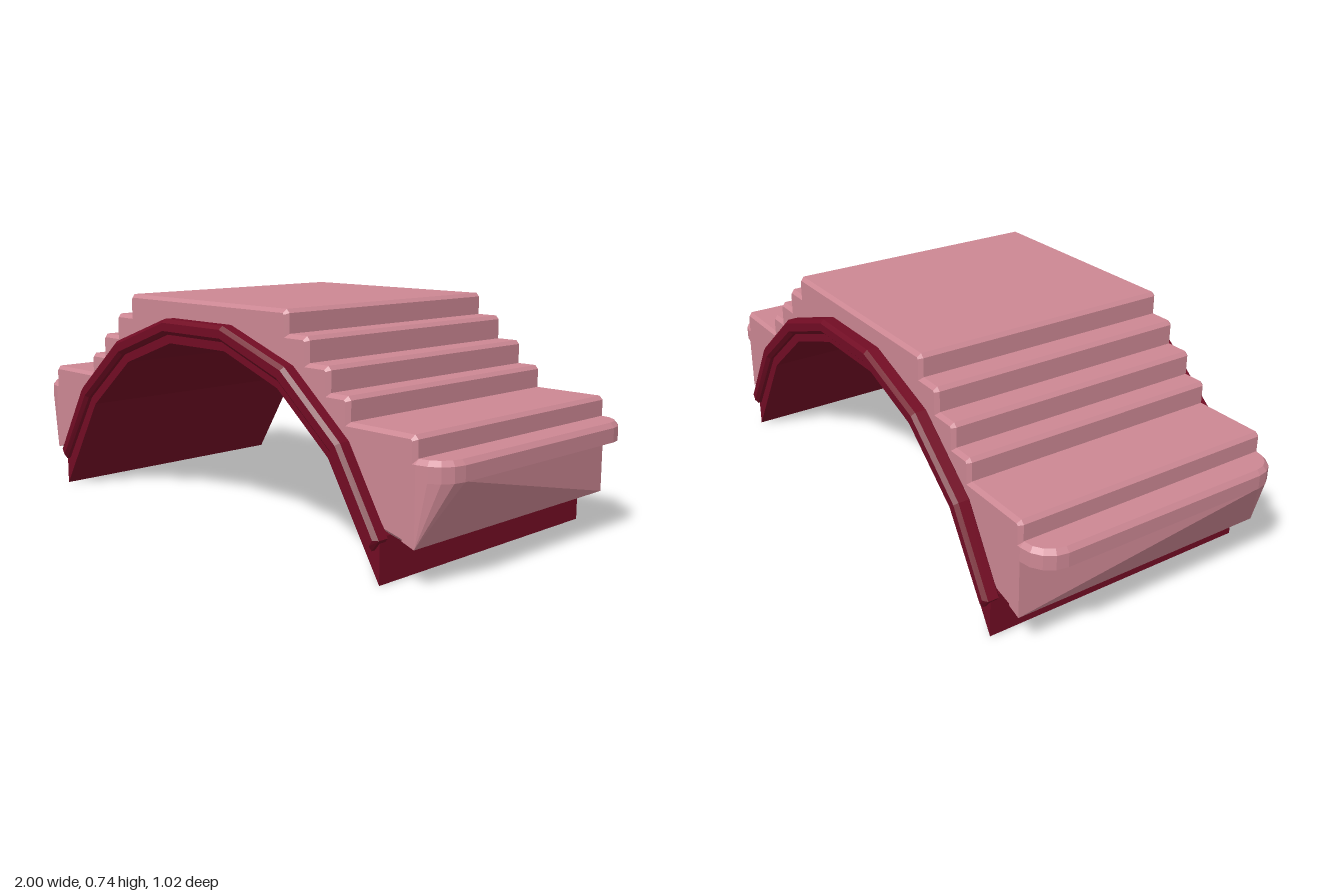
import * as THREE from 'three';
import { ConvexGeometry } from 'three/addons/geometries/ConvexGeometry.js';

const stone = new THREE.MeshStandardMaterial({ color: 0xcc8793, flatShading: true });
const trim = new THREE.MeshStandardMaterial({ color: 0x720c24, flatShading: true });

// Mirrors a +x chain of [x, y] points (centre outwards) into a chain from -x to +x
const mirrored = (half) => [...half.map(([x, y]) => [-x, y]).reverse(), ...half];

// Extrudes the area between an upper and a lower half chain from z0 to z1
function archSolid(name, upper, lower, z0, z1, bevel, material) {
  const outline = [...mirrored(lower), ...mirrored(upper).reverse()];
  const shape = new THREE.Shape(outline.map(([x, y]) => new THREE.Vector2(x, y)));
  const geometry = new THREE.ExtrudeGeometry(shape, {
    depth: z1 - z0 - 2 * bevel,
    bevelEnabled: bevel > 0,
    bevelThickness: bevel,
    bevelSize: bevel,
    bevelOffset: -bevel,
    bevelSegments: 1,
  });
  geometry.translate(0, 0, z0 + bevel);
  const mesh = new THREE.Mesh(geometry, material);
  mesh.name = name;
  return mesh;
}

// Quarter-round corner of the end ledge at height y, for the z side given by sign
function ledgeCorner(y, sign, inset = 0) {
  const points = [];
  for (let i = 0; i <= 4; i++) {
    const a = (i / 4) * Math.PI / 2;
    points.push(new THREE.Vector3(
      0.905 + (0.095 - inset) * Math.sin(a), y,
      sign * (0.365 + (0.095 - inset) * Math.cos(a))));
  }
  return points;
}

function convex(name, points, side) {
  const mesh = new THREE.Mesh(
    new ConvexGeometry(points.map((p) => new THREE.Vector3(p.x * side, p.y, p.z))), stone);
  mesh.name = name;
  return mesh;
}

export function createModel() {
  const model = new THREE.Group();
  model.name = 'steppedBridge';

  // Stepped body: each tread ends in a small chamfer
  const treads = [[0.40, 0.738], [0.487, 0.665], [0.575, 0.587], [0.655, 0.51], [0.905, 0.437]];
  const c = 0.012;
  const stepLine = [];
  treads.forEach(([x, y], i) => {
    if (i > 0) stepLine.push([treads[i - 1][0], y]);
    stepLine.push([x - c, y], [x, y - c]);
  });
  stepLine.push([0.905, 0.122]);
  const bodyUnder = [[0.145, 0.63], [0.41, 0.54], [0.635, 0.36], [0.79, 0.148]];
  model.add(archSolid('steppedBody', stepLine, bodyUnder, -0.46, 0.46, 0.012, stone));

  // Vault lining the passage
  const vaultOuter = [[0.145, 0.65], [0.42, 0.56], [0.65, 0.38], [0.803, 0.14]];
  const vaultInner = [[0.14, 0.592], [0.385, 0.505], [0.60, 0.33], [0.803, 0.002]];
  model.add(archSolid('vault', vaultOuter, vaultInner, -0.485, 0.485, 0, trim));

  // Raised rim around both openings
  const rimOuter = [[0.148, 0.673], [0.43, 0.575], [0.66, 0.385], [0.812, 0.135]];
  const rimInner = [[0.145, 0.622], [0.402, 0.53], [0.622, 0.352], [0.785, 0.10]];
  model.add(archSolid('frontRim', rimOuter, rimInner, 0.45, 0.51, 0.012, trim));
  model.add(archSolid('backRim', rimOuter, rimInner, -0.51, -0.45, 0.012, trim));

  // Bottom ledges with rounded corners, each carried by a flared block
  for (const side of [1, -1]) {
    const label = side > 0 ? 'left' : 'right';
    const slab = [];
    for (const [y, inset] of [[0.312, 0], [0.358, 0], [0.373, 0.013]]) {
      for (const sign of [1, -1]) {
        slab.push(...ledgeCorner(y, sign, inset));
        slab.push(new THREE.Vector3(0.82, y, sign * (0.46 - inset)));
      }
    }
    model.add(convex(label + 'Ledge', slab, side));

    const block = [...ledgeCorner(0.314, 1)];
    block.push(new THREE.Vector3(0.905, 0.314, -0.46));
    for (const z of [0.46, -0.46]) {
      block.push(new THREE.Vector3(0.905, 0.122, z));
      block.push(new THREE.Vector3(0.86, 0.137, z));
      block.push(new THREE.Vector3(0.86, 0.314, z));
    }
    model.add(convex(label + 'LedgeSupport', block, side));
  }
  return model;
}
